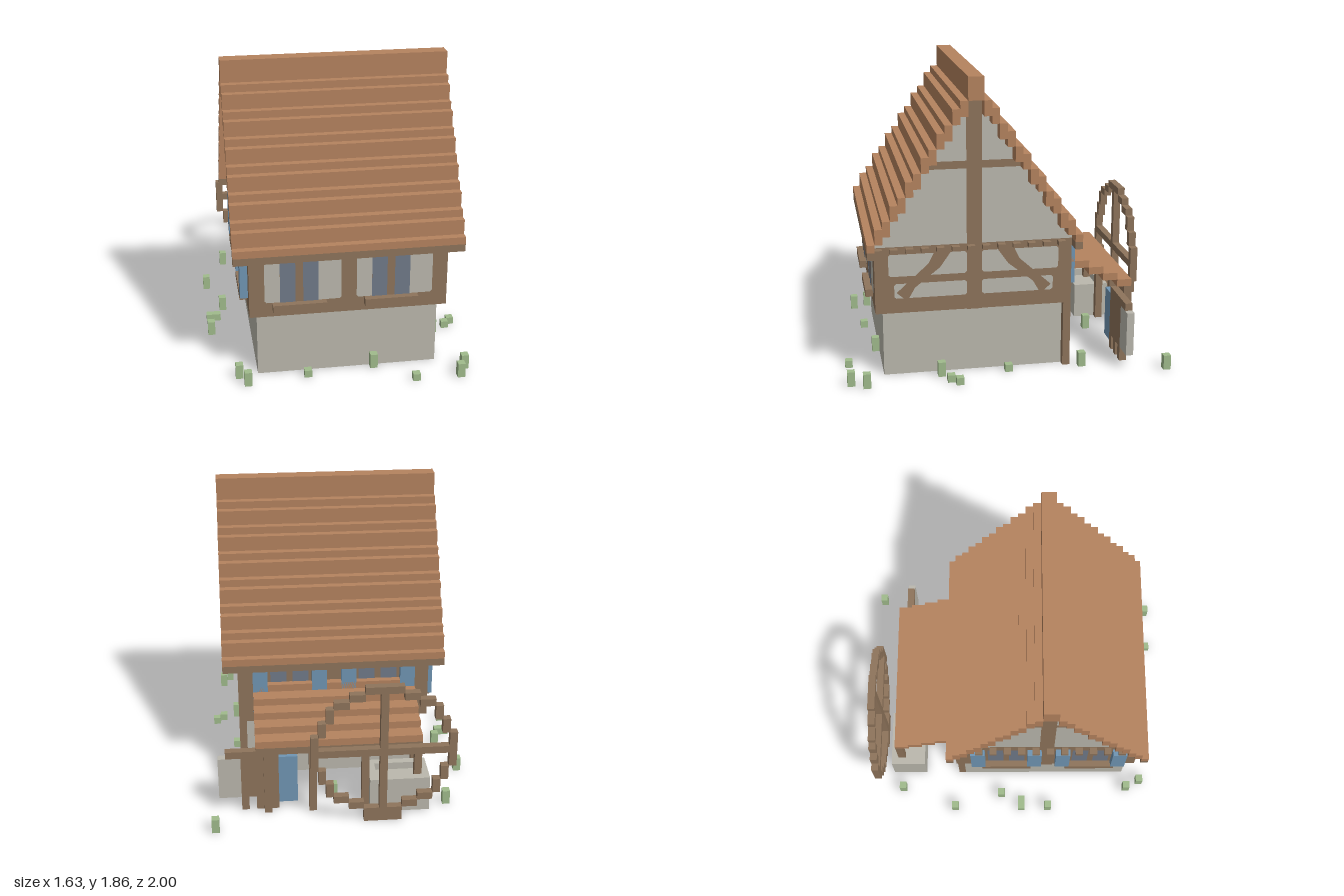
import * as THREE from 'three';

const V = 2 / 43; // size of one building block; everything below is in blocks

export function createModel() {
  const model = new THREE.Group();
  model.name = 'millHouse';
  const house = new THREE.Group();
  house.name = 'blocks';
  house.scale.setScalar(V);
  house.position.set(-17.5 * V, 0, -21.5 * V);
  model.add(house);

  const mat = (name, color) => {
    const m = new THREE.MeshStandardMaterial({ color });
    m.name = name;
    return m;
  };
  const tile = mat('roofTile', 0xb5835f);
  const wood = mat('timber', 0x8e745b);
  const plaster = mat('plaster', 0xbbb8ae);
  const stone = mat('stone', 0xbbb8ad);
  stone.side = THREE.DoubleSide;
  const blue = mat('bluePaint', 0x7096b4);
  const glass = mat('glass', 0x707a89);
  const green = mat('grass', 0xa0bb8c);

  const add = (name, geo, m) => {
    const mesh = new THREE.Mesh(geo, m);
    mesh.name = name;
    house.add(mesh);
    return mesh;
  };
  const box = (name, m, x0, x1, y0, y1, z0, z1) => {
    const g = new THREE.BoxGeometry(x1 - x0, y1 - y0, z1 - z0);
    return add(name, g.translate((x0 + x1) / 2, (y0 + y1) / 2, (z0 + z1) / 2), m);
  };

  // Flat plate on a wall; points are (x or z, y), lift is the layer above the wall
  const walls = {
    front: { turn: 0, flip: 1, at: [0, 0, 39], out: [0, 0, 1] },
    back: { turn: Math.PI, flip: -1, at: [0, 0, 13], out: [0, 0, -1] },
    left: { turn: Math.PI / 2, flip: -1, at: [31, 0, 0], out: [1, 0, 0] },
    right: { turn: -Math.PI / 2, flip: 1, at: [5, 0, 0], out: [-1, 0, 0] },
  };
  const plate = (name, m, wall, pts, lift = 1) => {
    const w = walls[wall];
    const shape = new THREE.Shape(pts.map(([u, y]) => new THREE.Vector2(u * w.flip, y)));
    const mesh = add(name, new THREE.ShapeGeometry(shape), m);
    mesh.rotation.y = w.turn;
    mesh.position.set(...w.at.map((a, i) => a + w.out[i] * lift * 0.05));
  };
  const rect = (name, m, wall, a, b, y0, y1, lift = 1, c = 0) =>
    plate(name, m, wall, c
      ? [[a + c, y0], [b - c, y0], [b, y0 + c], [b, y1 - c], [b - c, y1], [a + c, y1], [a, y1 - c], [a, y0 + c]]
      : [[a, y0], [b, y0], [b, y1], [a, y1]], lift);

  // Hollow stone ground floor, open underneath
  const base = new THREE.BoxGeometry(24, 9, 24).translate(18, 4.5, 26);
  const idx = Array.from(base.index.array);
  idx.splice(18, 6);
  base.setIndex(idx);
  base.clearGroups();
  add('groundFloor', base, stone);
  box('cornerPost', wood, 30, 31, 0, 9, 13, 14);
  box('cornerPost', wood, 6, 7, 0, 9, 13, 14);

  // Timber upper floor as four walls and a floor ring around the ground floor
  box('upperFrontWall', wood, 5, 31, 9, 18, 38, 39);
  box('upperBackWall', wood, 5, 31, 9, 18, 13, 14);
  box('upperLeftWall', wood, 30, 31, 9, 18, 14, 38);
  box('upperRightWall', wood, 5, 6, 9, 18, 14, 38);

  // Front windows
  for (const u of [7, 19]) {
    rect('frontPanel', plaster, 'front', u, u + 10, 11, 17, 1, 0.25);
    rect('frontWindowFrame', wood, 'front', u + 2, u + 7, 11, 17, 2);
    for (const s of [2, 5]) rect('frontGlass', glass, 'front', u + s, u + s + 2, 11, 17, 3);
    box('frontSill', wood, u + 1, u + 8, 10, 11, 39, 40);
  }

  // Shuttered windows on the back and right walls
  const shuttered = (wall, u) => {
    rect('windowPanel', plaster, wall, u, u + 10, 11, 17, 1, 0.25);
    rect('windowFrame', wood, wall, u + 2, u + 8, 11, 17, 2);
    for (const s of [2.4, 5.4]) rect('windowGlass', glass, wall, u + s, u + s + 2.2, 11.3, 16.8, 3);
    const outer = (name, m, a, b, y0, y1) => wall === 'back'
      ? box(name, m, a, b, y0, y1, 12, 13)
      : box(name, m, 4, 5, y0, y1, a, b);
    outer('shutter', blue, u, u + 2, 11, 17);
    outer('shutter', blue, u + 8, u + 10, 11, 17);
    outer('sill', wood, u + 1.5, u + 8.5, 10, 11);
  };
  for (const u of [7, 19]) shuttered('back', u);
  for (const u of [15.3, 27.3]) shuttered('right', u);

  // Braced timber panels of the left wall, mirrored about the ridge
  for (const s of [-1, 1]) {
    const z = (d) => 26 + s * d;
    const span = (a, b) => [Math.min(z(a), z(b)), Math.max(z(a), z(b))];
    rect('upperPanel', plaster, 'left', ...span(1, 11.2), 14, 17, 1, 0.25);
    rect('lowerPanel', plaster, 'left', ...span(1, 10.5), 11, 13, 1, 0.25);
    plate('brace', wood, 'left', [[z(3.1), 17], [z(5.3), 17], [z(6), 15.6], [z(10.2), 11.8], [z(9.3), 11],
      [z(8.6), 11], [z(7.8), 12.4], [z(4.5), 15]], 2);
  }

  // Roof: stepped courses, gable infill and ridge
  const tops = [19, 21, 22, 24, 25, 27, 28, 30, 31, 33, 34, 36, 37];
  tops.forEach((top, i) => {
    for (const z of [12 + i, 39 - i]) {
      if (i === 0) {
        box('roofCourse', tile, 3, 33, 18, 19, z, z + 1);
        box('eaveBoard', wood, 3, 33, 17, 18, z, z + 1);
      } else {
        box('roofCourse', tile, 3, 33, top - 2, top, z, z + 1);
        box('gableWall', plaster, 5, 31, 18, top - 2, z, z + 1);
      }
    }
  });
  box('gableWall', plaster, 5, 31, 18, 37, 25, 27);
  box('ridge', tile, 3, 33, 37, 40, 25, 27);
  for (const wall of ['left', 'right']) {
    rect('gablePost', wood, wall, 25, 27, 9, 37, 3);
    rect('gableCollar', wood, wall, 19, 33, 28, 29, 2);
    rect('gableBeam', wood, wall, 13, 39, 17, 18, 2);
  }
  for (let z = 14; z < 39; z += 2) {
    box('joistEnd', wood, 31, 32, 17.3, 17.9, z, z + 1);
    box('joistEnd', wood, 4, 5, 17.3, 17.9, z, z + 1);
  }

  // Lean-to at the back
  for (let i = 0; i < 5; i++) box('leanToCourse', tile, 7, 29, 10 + i, 11 + i, 4 + 2 * i, 6 + 2 * i);
  for (const x of [7, 14, 21, 27]) box('leanToPost', wood, x, x + 1, 0, 10, 4, 5);
  box('leanToBeam', wood, 7, 29, 9, 10, 4, 5);

  // Screen beside the lean-to
  box('screenDoor', blue, 23.5, 26, 1, 8, 5, 6);
  box('screenBoard', wood, 26, 31, 2, 8, 5, 6);
  box('screenPanel', plaster, 31, 34, 2, 8, 5, 6);
  box('screenRail', wood, 26, 33, 8, 9, 5, 6);
  for (const x of [26, 28, 30]) box('screenPost', wood, x, x + 1, 0, 2, 5, 6);

  // Stone basin with raised rim
  box('basinFloor', stone, 7, 13, 0, 4, 4, 7);
  box('basinSide', stone, 6, 7, 0, 5, 3, 8);
  box('basinSide', stone, 13, 14, 0, 5, 3, 8);
  box('basinEnd', stone, 7, 13, 0, 5, 3, 4);
  box('basinEnd', stone, 7, 13, 0, 5, 7, 8);

  // Water wheel: [x0, x1, y0, y1] rim pieces around its centre, mirrored four ways
  const rim = [[7.5, 6.5, 4.5, 6.5], [8.5, 7.5, 2.5, 4.5], [4.5, 6.5, 7.5, 6.5], [2.5, 4.5, 8.5, 7.5]];
  const wheelBox = (name, x0, x1, y0, y1) => box(name, wood,
    12.5 + Math.min(x0, x1), 12.5 + Math.max(x0, x1), 10.5 + Math.min(y0, y1), 10.5 + Math.max(y0, y1), 1, 2);
  for (const s of [-1, 1]) {
    for (const t of [-1, 1]) for (const [a, b, c, d] of rim) wheelBox('wheelRim', s * a, s * b, t * c, t * d);
    wheelBox('wheelRim', s * 8.5, s * 9.5, -2.5, 2.5);
    wheelBox('wheelRim', -2.5, 2.5, s * 8.5, s * 9.5);
    wheelBox('wheelSpoke', s * 0.5, s * 8.5, -0.5, 0.5);
  }
  wheelBox('wheelSpoke', -0.5, 0.5, -8.5, 8.5);
  wheelBox('wheelFoot', -2.5, 2.5, -10.5, -9.5);

  // Grass tufts: [x, z, height]
  const tufts = [[34, 0, 2], [3, 4, 2], [0, 12, 2], [2, 19, 2], [0, 22, 1], [1, 22, 1], [0, 26, 2], [4, 40, 2],
    [26, 42, 1], [32, 42, 2], [33, 40, 2], [34, 28, 1], [33, 29, 1], [31, 30, 2], [31, 21, 1],
    [12, 39, 1], [21, 38, 2], [3, 38, 2], [31, 11, 2], [8, 11, 2], [18, 7, 2]];
  for (const [x, z, h] of tufts) box('grassTuft', green, x, x + 1, 0, h, z, z + 1);

  return model;
}
